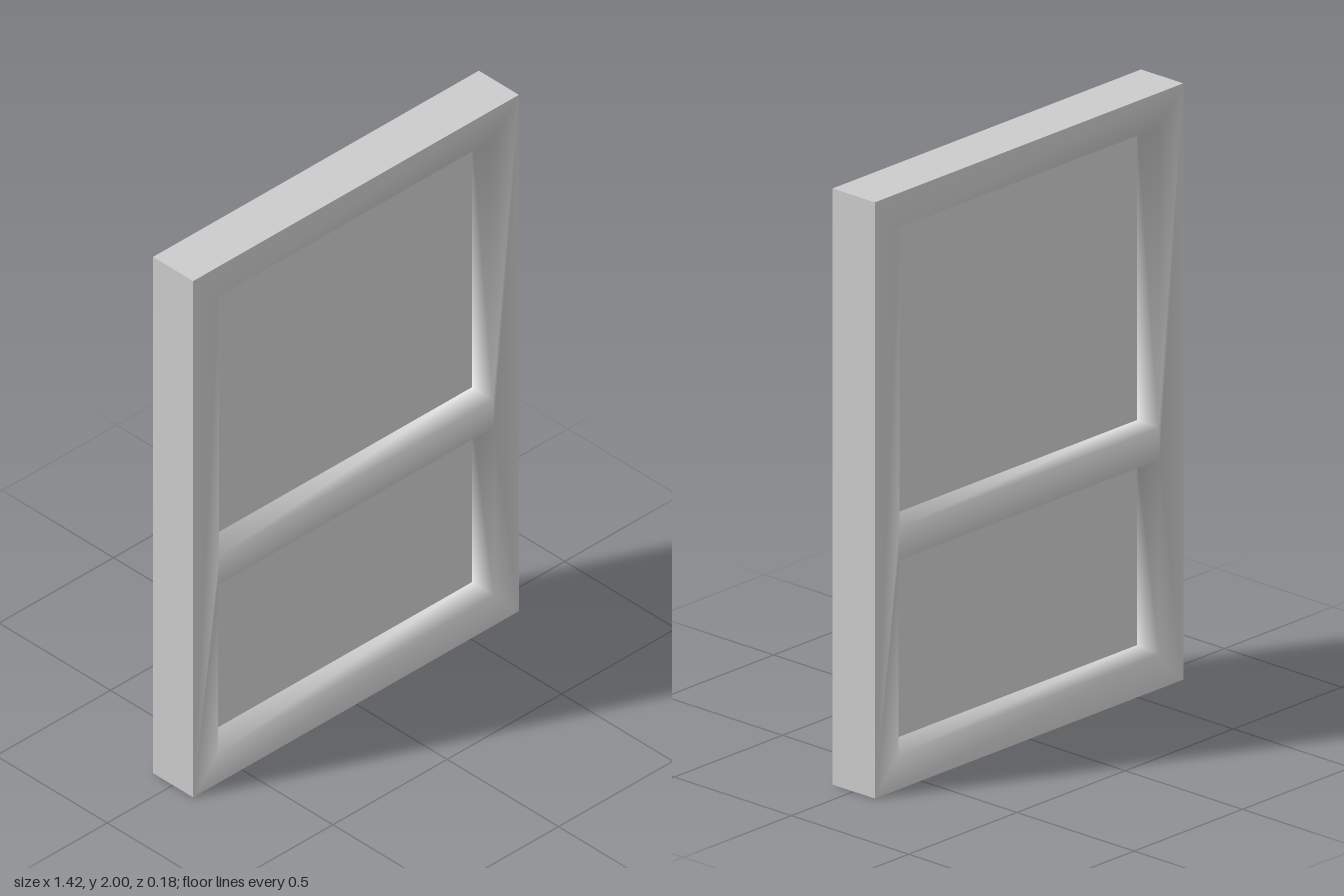
import * as THREE from 'three';
import { mergeGeometries, mergeVertices } from 'three/addons/utils/BufferGeometryUtils.js';

const W = 0.712, H = 2, D = 0.09; // half width, height, half depth
// Each opening: size at the glass, and how far its lip flares outwards
const openings = [
  { name: 'upper', x: 0.595, y0: 0.88, y1: 1.88, flare: 0.004 },
  { name: 'lower', x: 0.595, y0: 0.125, y1: 0.76, flare: 0.008 },
];

// Corners of a rectangle, anticlockwise seen from the front
const rect = (x, y0, y1, grow = 0) => [
  [-x - grow, y0 - grow], [x + grow, y0 - grow], [x + grow, y1 + grow], [-x - grow, y1 + grow],
].map(([px, py]) => new THREE.Vector2(px, py));

// Bands of quads joining rectangular rings, ordered front to back
function bands(rings, inward) {
  const pos = [], index = [];
  rings.forEach(({ pts, z }) => pts.forEach(p => pos.push(p.x, p.y, z)));
  for (let r = 0; r < rings.length - 1; r++) {
    for (let i = 0; i < 4; i++) {
      const a = r * 4 + i, b = r * 4 + (i + 1) % 4, c = b + 4, d = a + 4;
      if (inward) index.push(a, b, c, a, c, d);
      else index.push(a, c, b, a, d, c);
    }
  }
  const g = new THREE.BufferGeometry();
  g.setAttribute('position', new THREE.Float32BufferAttribute(pos, 3));
  g.setIndex(index);
  return g;
}

export function createModel() {
  const group = new THREE.Group();
  const material = new THREE.MeshStandardMaterial({ color: 0xcccccc });
  const add = (geometry, name, mat = material) => {
    const mesh = new THREE.Mesh(geometry, mat);
    mesh.name = name;
    group.add(mesh);
    return mesh;
  };

  // Front and back faces with the two openings cut out
  const shape = new THREE.Shape(rect(W, 0, H));
  openings.forEach(o => shape.holes.push(new THREE.Path(rect(o.x, o.y0, o.y1, o.flare).reverse())));
  const face = z => {
    const g = new THREE.ShapeGeometry(shape);
    g.deleteAttribute('uv');
    g.deleteAttribute('normal');
    if (z < 0) g.rotateY(Math.PI);
    return g.translate(0, 0, z);
  };

  // Reveals run from each lip in to the glass and out again
  const reveals = openings.map(o => bands([D, 0, -D].map(z => ({
    pts: rect(o.x, o.y0, o.y1, z === 0 ? 0 : o.flare), z,
  })), true));

  // Faces and reveals share soft normals at the lips
  const frame = mergeVertices(mergeGeometries([face(D), face(-D), ...reveals]), 1e-4);
  frame.computeVertexNormals();
  add(frame, 'frame');

  // Outer edges stay crisp
  const rim = bands([D, -D].map(z => ({ pts: rect(W, 0, H), z })), false).toNonIndexed();
  rim.computeVertexNormals();
  add(rim, 'frameRim');

  // Glass panes halfway through the frame
  const glass = material.clone();
  glass.side = THREE.DoubleSide;
  openings.forEach(o => {
    add(new THREE.PlaneGeometry(2 * o.x, o.y1 - o.y0), o.name + 'Pane', glass)
      .position.set(0, (o.y0 + o.y1) / 2, 0);
  });

  return group;
}
